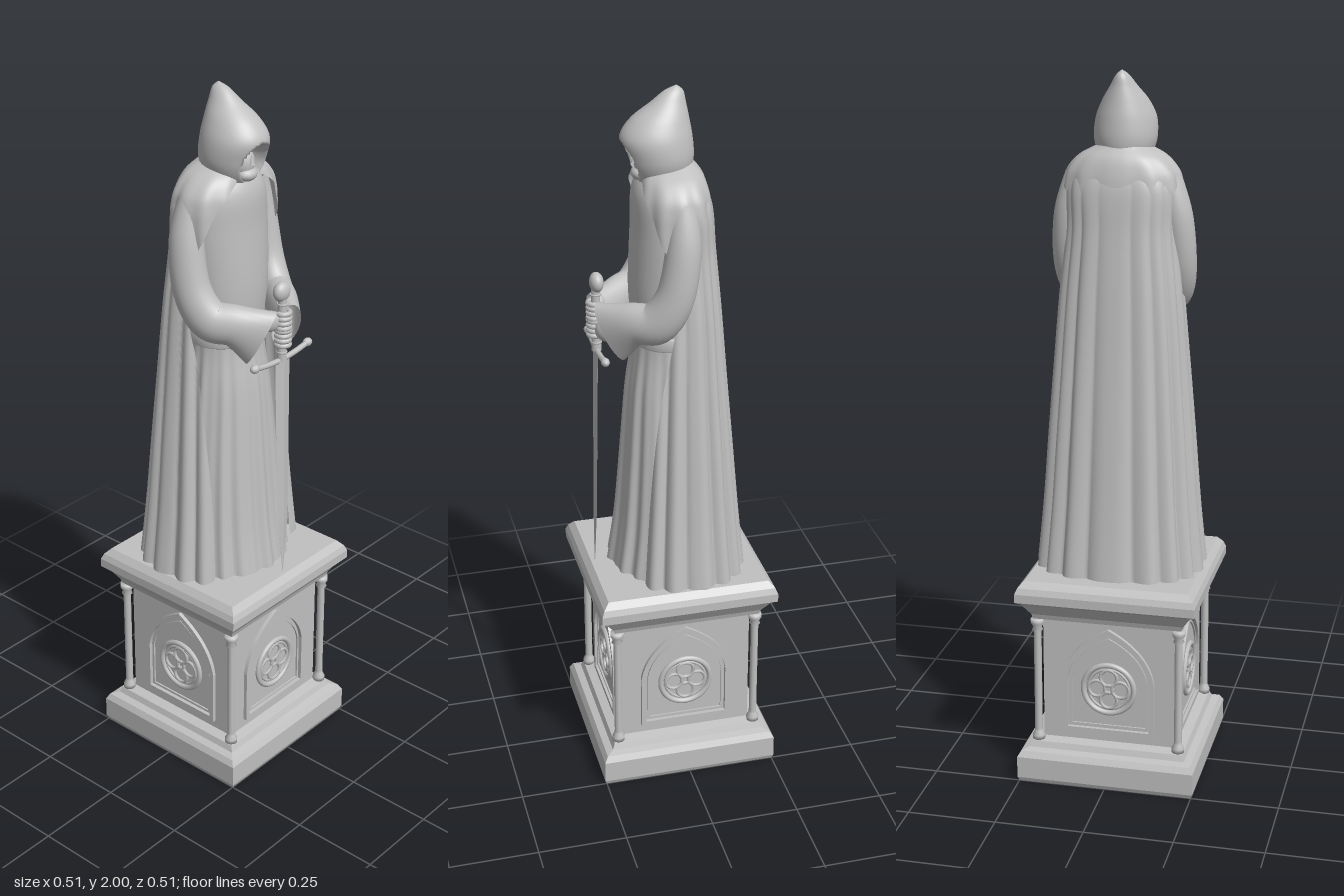
import * as THREE from 'three';

const stone = new THREE.MeshStandardMaterial({ color: 0xc0c0c0, side: THREE.DoubleSide });
stone.name = 'grey stone';

// Smooth interpolation through equally spaced rows of numbers, t in 0..1
function spline(rows, t) {
  const n = rows.length - 1, f = Math.min(t, 0.999999) * n, i = Math.floor(f), w = f - i;
  const at = k => rows[Math.max(0, Math.min(n, k))];
  return rows[0].map((_, c) => {
    const a = at(i - 1)[c], b = at(i)[c], d = at(i + 1)[c], e = at(i + 2)[c];
    const m0 = (d - a) / 2, m1 = (e - b) / 2;
    return b + w * m0 + w * w * (3 * (d - b) - 2 * m0 - m1) + w * w * w * (2 * (b - d) + m0 + m1);
  });
}

// Surface from a rule fn(u, v) -> [x, y, z]; closed joins the first and last columns
function surface(nu, nv, closed, fn) {
  const pos = [], idx = [], cols = closed ? nu : nu + 1;
  for (let j = 0; j <= nv; j++)
    for (let i = 0; i < cols; i++) pos.push(...fn(i / nu, j / nv));
  for (let j = 0; j < nv; j++)
    for (let i = 0; i < nu; i++) {
      const a = j * cols + i, b = j * cols + (i + 1) % cols;
      idx.push(a, b, a + cols, b, b + cols, a + cols);
    }
  const g = new THREE.BufferGeometry();
  g.setAttribute('position', new THREE.Float32BufferAttribute(pos, 3));
  g.setIndex(idx);
  g.computeVertexNormals();
  return g;
}

function add(parent, name, geo, x = 0, y = 0, z = 0) {
  const m = new THREE.Mesh(geo, stone);
  m.name = name;
  m.position.set(x, y, z);
  parent.add(m);
  return m;
}

const soft = (v, e) => Math.sign(v) * Math.abs(v) ** e;

function archShape(w, y0, ys, ya) {
  const s = new THREE.Shape();
  s.moveTo(-w, y0).lineTo(w, y0).lineTo(w, ys);
  s.quadraticCurveTo(w * 0.9, ys + (ya - ys) * 0.62, 0, ya);
  s.quadraticCurveTo(-w * 0.9, ys + (ya - ys) * 0.62, -w, ys);
  return s;
}

function makePedestal() {
  const g = new THREE.Group();
  g.name = 'pedestal';
  // Square moulded block
  const profile = [[0, 0], [0.25, 0], [0.255, 0.012], [0.255, 0.075], [0.245, 0.092], [0.225, 0.098], [0.218, 0.115],
    [0.19, 0.122], [0.19, 0.485], [0.212, 0.49], [0.217, 0.505], [0.24, 0.54], [0.255, 0.55], [0.255, 0.575],
    [0.248, 0.592], [0.232, 0.61], [0, 0.61]].map(([r, y]) => new THREE.Vector2(r * Math.SQRT2, y));
  const block = new THREE.LatheGeometry(profile, 4).rotateY(Math.PI / 4).toNonIndexed();
  block.computeVertexNormals();
  add(g, 'block', block);

  // Corner colonettes
  const colonette = new THREE.LatheGeometry([[0, 0.118], [0.018, 0.118], [0.018, 0.13], [0.012, 0.142], [0.011, 0.15],
    [0.011, 0.45], [0.016, 0.455], [0.012, 0.463], [0.019, 0.475], [0.019, 0.488], [0, 0.488]]
    .map(p => new THREE.Vector2(...p)), 14);
  for (const x of [-1, 1]) for (const z of [-1, 1]) add(g, 'colonette', colonette, x * 0.203, 0, z * 0.203);

  // Pointed arch and rosette on every side
  const frames = [[0.132, 0.148, 0.31, 0.468, 0.014, 0.012], [0.112, 0.168, 0.31, 0.44, 0.006, 0.006]].map(
    ([w, y0, ys, ya, t, depth]) => {
      const s = archShape(w, y0, ys, ya);
      s.holes.push(archShape(w - t, y0 + t, ys, ya - t * 1.2));
      return new THREE.ExtrudeGeometry(s, { depth, bevelEnabled: false, curveSegments: 16 });
    });
  for (let i = 0; i < 4; i++) {
    const side = new THREE.Group();
    side.name = 'tracery panel';
    side.rotation.y = i * Math.PI / 2;
    frames.forEach(f => add(side, 'arch frame', f, 0, 0, 0.189));
    add(side, 'rosette rim', new THREE.TorusGeometry(0.073, 0.008, 8, 40), 0, 0.285, 0.193);
    add(side, 'rosette inner rim', new THREE.TorusGeometry(0.06, 0.004, 6, 36), 0, 0.285, 0.192);
    add(side, 'rosette centre', new THREE.TorusGeometry(0.012, 0.005, 6, 16), 0, 0.285, 0.193);
    for (let k = 0; k < 4; k++) {
      const a = k * Math.PI / 2;
      add(side, 'rosette foil', new THREE.TorusGeometry(0.024, 0.005, 6, 24),
        0.034 * Math.cos(a), 0.285 + 0.034 * Math.sin(a), 0.193);
    }
    g.add(side);
  }
  return g;
}

// Robe cross-sections: y, half width, front z, back z, fold depth
const robeRows = [[0.611, 0.18, 0.175, -0.14, 0.055], [0.75, 0.165, 0.155, -0.135, 0.05], [0.95, 0.148, 0.138, -0.125, 0.04],
  [1.15, 0.126, 0.122, -0.11, 0.03], [1.3, 0.11, 0.103, -0.09, 0.01], [1.45, 0.122, 0.11, -0.09, 0],
  [1.62, 0.125, 0.103, -0.085, 0], [1.73, 0.105, 0.098, -0.07, 0], [1.8, 0.045, 0.06, -0.03, 0]];

// Cape cross-sections: y, half width, centre z, depth, fold depth, half opening angle
const capeRows = [[0.613, 0.236, -0.02, 0.178, 0.09, 2.4], [0.8, 0.218, -0.02, 0.16, 0.085, 2.38], [1, 0.203, -0.02, 0.143, 0.08, 2.3],
  [1.2, 0.187, -0.02, 0.126, 0.07, 2.15], [1.4, 0.17, -0.02, 0.11, 0.06, 1.85], [1.57, 0.152, -0.015, 0.1, 0.045, 1.65],
  [1.7, 0.15, -0.01, 0.093, 0.02, 1.65], [1.78, 0.1, 0, 0.07, 0, 1.65]];

// Hood cross-sections: y, half width, centre z, half depth
const hoodRows = [[1.74, 0.055, 0.02, 0.06], [1.78, 0.076, 0.024, 0.083], [1.82, 0.086, 0.028, 0.093], [1.87, 0.082, 0.035, 0.096],
  [1.915, 0.063, 0.025, 0.078], [1.955, 0.037, 0.003, 0.048], [1.985, 0.018, -0.012, 0.026], [2, 0.001, -0.02, 0.001]];

// Sleeve path: x, y, z, thickness, height
const sleeveRows = [[0.125, 1.72, -0.005, 0.035, 0.035], [0.148, 1.61, -0.002, 0.044, 0.047], [0.153, 1.48, 0.02, 0.046, 0.052],
  [0.136, 1.4, 0.065, 0.046, 0.058], [0.098, 1.385, 0.12, 0.044, 0.06], [0.052, 1.35, 0.175, 0.038, 0.088]];

function sleeve(s) {
  const up = new THREE.Vector3(), centre = new THREE.Vector3(), dir = new THREE.Vector3(), out = new THREE.Vector3();
  return surface(28, 36, true, (u, v) => {
    const a = u * 2 * Math.PI, [x, y, z, r1, r2] = spline(sleeveRows, v);
    const p = spline(sleeveRows, Math.max(0, v - 0.03)), q = spline(sleeveRows, Math.min(1, v + 0.03));
    dir.set(q[0] - p[0], q[1] - p[1], q[2] - p[2]).normalize();
    out.set(0.86, 0, 0.5).addScaledVector(dir, -dir.dot(out)).normalize();
    up.crossVectors(dir, out);
    centre.set(x, y, z).addScaledVector(out, r1 * Math.cos(a)).addScaledVector(up, r2 * Math.sin(a));
    return [s * centre.x, centre.y, centre.z];
  });
}

function makeFigure() {
  const g = new THREE.Group();
  g.name = 'hooded figure';
  // Pleated robe
  const robePoint = (u, row, grow = 0) => {
    const a = u * 2 * Math.PI, [y, rx, zf, zb, fold] = row;
    const f = 1 + grow + fold * (0.6 * Math.cos(14 * a) + 0.4 * Math.cos(23 * a + 0.8));
    return [rx * Math.sin(a) * f, y, (zf + zb) / 2 + (zf - zb) / 2 * Math.cos(a) * f];
  };
  add(g, 'robe', surface(140, 48, true, (u, v) => robePoint(u, spline(robeRows, v))));
  const belt = [[1.295, 0], [1.3, 0.06], [1.33, 0.06], [1.335, 0]];
  add(g, 'belt', surface(48, 3, true, (u, v) => {
    const [y, grow] = belt[Math.round(v * 3)];
    return robePoint(u, [y, 0.113, 0.105, -0.09, 0], grow);
  }));

  // Long cape with scalloped folds, open at the front
  add(g, 'cape', surface(180, 48, false, (u, v) => {
    const [y, rx, zc, depth, fold, open] = spline(capeRows, v), a = (u * 2 - 1) * open;
    const f = 1 + fold * (Math.abs(Math.cos(8.5 * a)) - 0.75);
    return [-rx * soft(Math.sin(a), 0.72) * f, y, zc - depth * soft(Math.cos(a), 0.8) * f];
  }));

  // Shoulder mantle with two hanging points at the front
  const mantleRows = [[0.055, 0.055], [0.118, 0.083], [0.152, 0.096], [0.163, 0.102], [0.166, 0.104], [0.167, 0.104], [0.166, 0.1]];
  const hem = [[1.64], [1.65], [1.68], [1.69], [1.59], [1.69], [1.76]];
  add(g, 'mantle', surface(120, 24, false, (u, v) => {
    const a = (u * 2 - 1) * 2.85, low = spline(hem, Math.abs(u * 2 - 1))[0];
    const y = 1.81 + (low - 1.81) * v, [rx, rz] = spline(mantleRows, Math.min(1, (1.81 - y) / 0.22));
    const f = 1 + 0.025 * v * Math.cos(12 * a);
    return [rx * soft(Math.sin(a), 0.8) * f, y, -rz * soft(Math.cos(a), 0.9) * f];
  }));

  // Hood with a hollow for the face
  add(g, 'hood', surface(96, 64, true, (u, v) => {
    const a = u * 2 * Math.PI, [y, rx, zc, rz] = spline(hoodRows, v);
    const x = rx * Math.sin(a);
    let z = zc + rz * Math.cos(a);
    const d = (x / 0.048) ** 2 + ((y - 1.808) / 0.056) ** 2;
    if (Math.cos(a) > 0 && d < 1) z -= 0.055 * Math.min(1, (1 - d) * 3);
    return [x, y, z];
  }));
  add(g, 'face', new THREE.SphereGeometry(1, 24, 16), 0, 1.8, 0.06).scale.set(0.034, 0.045, 0.034);
  add(g, 'nose', new THREE.ConeGeometry(0.008, 0.028, 8), 0, 1.815, 0.094);
  add(g, 'chin', new THREE.SphereGeometry(1, 18, 12), 0, 1.772, 0.075).scale.set(0.032, 0.02, 0.028);

  // Sleeves and hands folded over the grip
  for (const s of [-1, 1]) {
    add(g, s > 0 ? 'leftSleeve' : 'rightSleeve', sleeve(s));
    const hand = new THREE.Group(), y = s > 0 ? 1.345 : 1.395;
    hand.name = s > 0 ? 'leftHand' : 'rightHand';
    const palm = add(hand, 'palm', new THREE.SphereGeometry(1, 16, 12), s * 0.032, y, 0.188);
    palm.scale.set(0.03, 0.03, 0.02);
    palm.rotation.y = s * 0.6;
    for (let i = 0; i < 4; i++) {
      const finger = add(hand, 'finger', new THREE.TorusGeometry(0.018, 0.0075, 8, 16, Math.PI * 1.2), 0, y - 0.021 + i * 0.014, 0.206);
      finger.rotation.set(Math.PI / 2, 0, s > 0 ? -0.1 : -0.5);
    }
    g.add(hand);
  }
  return g;
}

function makeSword() {
  const g = new THREE.Group();
  g.name = 'sword';
  add(g, 'pommel', new THREE.SphereGeometry(0.028, 20, 14), 0, 1.474, 0.2).scale.z = 0.7;
  add(g, 'grip', new THREE.CylinderGeometry(0.012, 0.014, 0.19, 14), 0, 1.37, 0.203);
  for (let i = 0; i < 6; i++)
    add(g, 'grip ring', new THREE.TorusGeometry(0.013, 0.003, 6, 14).rotateX(Math.PI / 2), 0, 1.3 + i * 0.028, 0.203);
  // Slightly bowed guard with end knobs
  const bow = new THREE.QuadraticBezierCurve3(new THREE.Vector3(-0.11, 1.288, 0.203), new THREE.Vector3(0, 1.264, 0.203),
    new THREE.Vector3(0.11, 1.288, 0.203));
  add(g, 'guard', new THREE.TubeGeometry(bow, 20, 0.008, 8));
  for (const s of [-1, 1]) add(g, 'guard knob', new THREE.SphereGeometry(0.012, 10, 8), s * 0.11, 1.288, 0.203).scale.x = 1.3;
  // Diamond-section blade: y, half width, half thickness, z
  const bladeRows = [[0.612, 0.001, 0.001, 0.22], [0.78, 0.022, 0.005, 0.216], [1.28, 0.03, 0.007, 0.206]];
  const blade = surface(4, 2, true, (u, v) => {
    const [y, w, t, z] = bladeRows[Math.round(v * 2)], a = u * 2 * Math.PI;
    return [w * Math.sin(a), y, z + t * Math.cos(a)];
  }).toNonIndexed();
  blade.computeVertexNormals();
  add(g, 'blade', blade);
  return g;
}

export function createModel() {
  const model = new THREE.Group();
  model.name = 'guardian statue';
  model.add(makePedestal(), makeFigure(), makeSword());
  return model;
}
